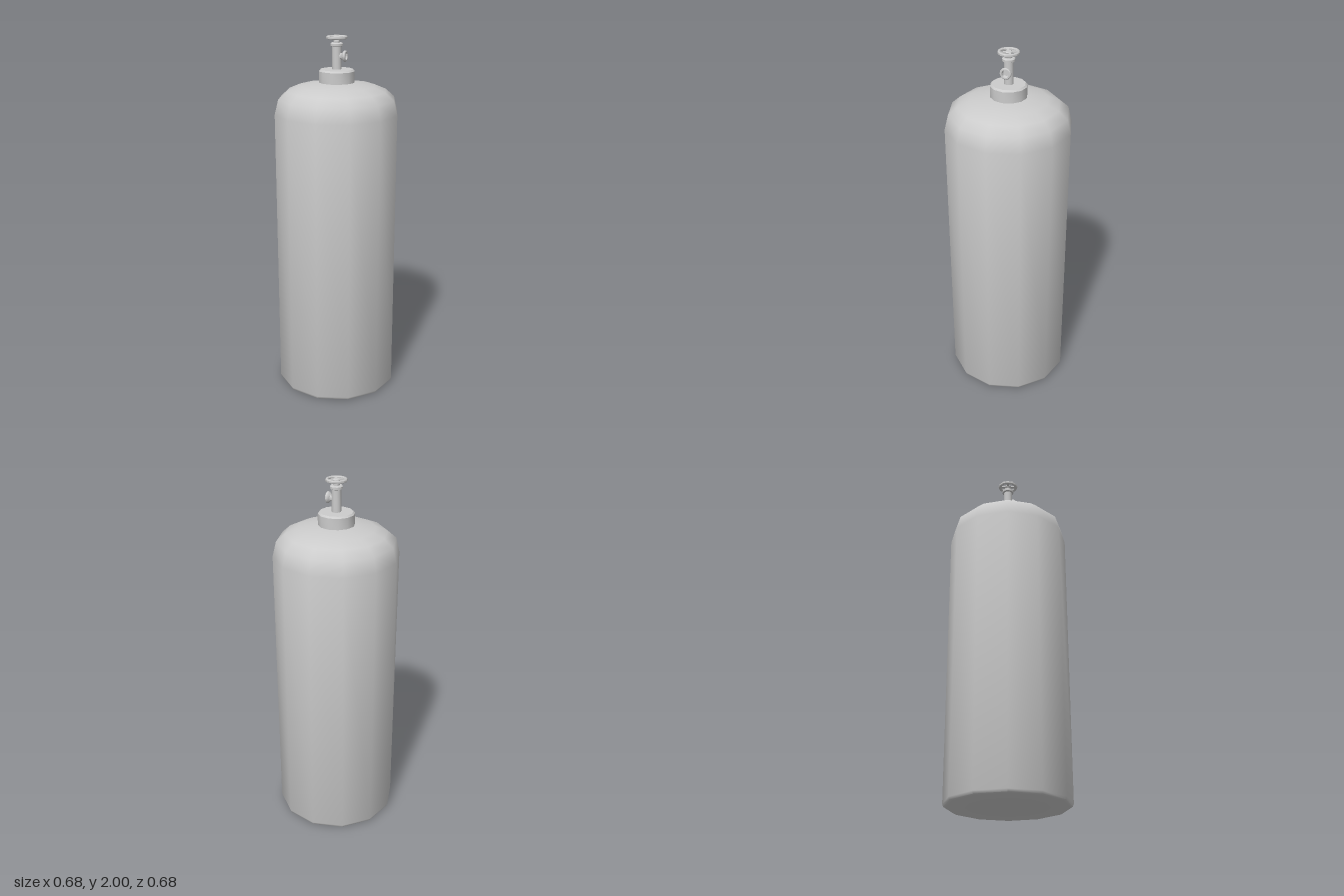
import * as THREE from 'three';
import { toCreasedNormals } from 'three/addons/utils/BufferGeometryUtils.js';

const material = new THREE.MeshStandardMaterial({ color: 0xcccccc });

// Revolve a bottom-to-top [radius, height] profile around y
function turned(name, profile, sides = 12, crease = 0.75) {
  const points = profile.map(([r, y]) => new THREE.Vector2(r, y));
  const geometry = toCreasedNormals(new THREE.LatheGeometry(points, sides), crease);
  const mesh = new THREE.Mesh(geometry, material);
  mesh.name = name;
  return mesh;
}

function createHandwheel() {
  const wheel = new THREE.Group();
  wheel.name = 'handwheel';

  // Rim: closed rounded ring
  wheel.add(turned('wheelRim', [
    [0.041, -0.004], [0.045, -0.008], [0.054, -0.008], [0.058, -0.004],
    [0.058, 0.004], [0.054, 0.008], [0.045, 0.008], [0.041, 0.004], [0.041, -0.004],
  ], 12, 1));

  // Hub
  wheel.add(turned('wheelHub', [
    [0, -0.008], [0.017, -0.008], [0.02, -0.004], [0.02, 0.002], [0.016, 0.006], [0, 0.006],
  ]));

  // Four spokes
  for (let i = 0; i < 4; i++) {
    const pivot = new THREE.Group();
    pivot.name = 'wheelSpoke';
    pivot.rotation.y = Math.PI / 6 + i * Math.PI / 2;
    const spoke = new THREE.Mesh(new THREE.BoxGeometry(0.034, 0.008, 0.013), material);
    spoke.name = 'spokeBar';
    spoke.position.x = 0.029;
    pivot.add(spoke);
    wheel.add(pivot);
  }
  wheel.position.y = 1.992;
  return wheel;
}

export function createModel() {
  const model = new THREE.Group();
  model.name = 'gasCylinder';

  // Tank with flat base and rounded shoulder
  model.add(turned('tank', [
    [0, 0], [0.322, 0], [0.334, 0.006], [0.34, 0.02], [0.34, 1.59], [0.32, 1.67],
    [0.272, 1.712], [0.21, 1.738], [0.1, 1.756], [0, 1.758],
  ]));

  // Neck collar with a softened upper edge
  model.add(turned('neckCollar', [
    [0.098, 1.745], [0.098, 1.816], [0.089, 1.825], [0, 1.825],
  ]));

  // Valve body, gland nut and spindle
  model.add(turned('valveStem', [
    [0.025, 1.815], [0.025, 1.944], [0.034, 1.948], [0.034, 1.96], [0.029, 1.965],
    [0.018, 1.965], [0.018, 1.978], [0.011, 1.982], [0.011, 1.99],
  ]));

  // Hollow side outlet with a flared mouth
  const outlet = turned('valveOutlet', [
    [0.017, 0], [0.017, 0.031], [0.027, 0.039], [0.031, 0.044], [0.031, 0.05],
    [0.027, 0.054], [0.02, 0.054], [0.016, 0.035], [0, 0.035],
  ]);
  outlet.rotation.z = -Math.PI / 2;
  outlet.position.y = 1.895;
  model.add(outlet);

  model.add(createHandwheel());
  return model;
}
